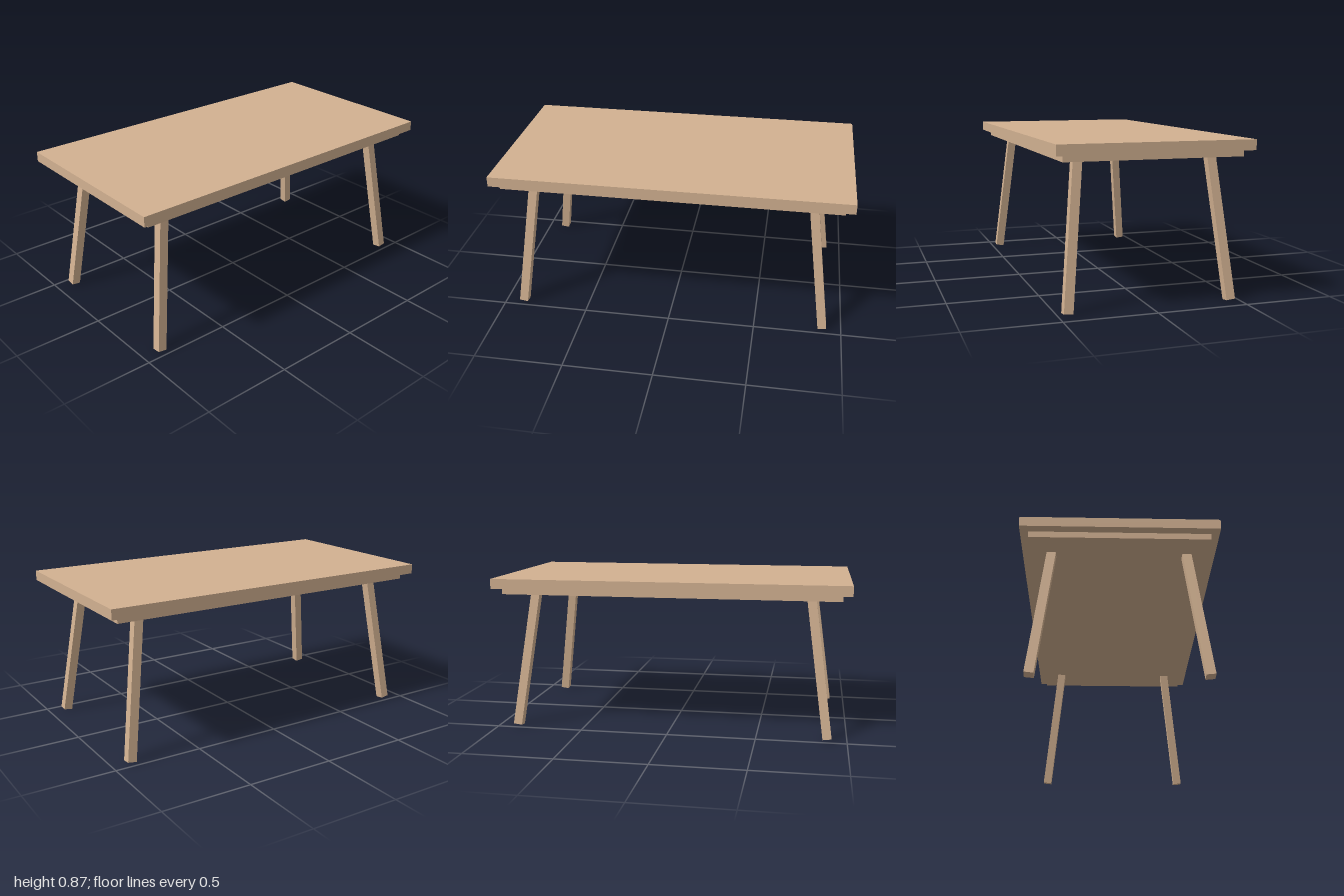
import * as THREE from 'three';

export function createModel() {
  const table = new THREE.Group();
  table.name = 'table';

  const wood = new THREE.MeshStandardMaterial({ color: 0xd2b191 });
  wood.name = 'light wood';

  // Horizontal slab centred on the table, resting at the given height
  function slab(name, width, height, depth, bottom) {
    const mesh = new THREE.Mesh(new THREE.BoxGeometry(width, height, depth), wood);
    mesh.name = name;
    mesh.position.y = bottom + height / 2;
    table.add(mesh);
  }
  slab('tableTop', 2, 0.056, 1.056, 0.81);
  slab('underframe', 1.9, 0.035, 0.966, 0.775);

  // Square legs, splayed outwards from the underframe
  const legLength = 0.8;
  const legGeometry = new THREE.BoxGeometry(0.05, legLength, 0.05);
  legGeometry.translate(0, legLength / 2, 0);
  for (const sx of [-1, 1]) {
    for (const sz of [-1, 1]) {
      const leg = new THREE.Mesh(legGeometry, wood);
      leg.name = (sz > 0 ? 'front' : 'back') + (sx > 0 ? 'Left' : 'Right') + 'Leg';
      leg.position.set(sx * 0.892, 0.006, sz * 0.448);
      leg.rotation.set(-sz * 0.105, 0, sx * 0.137);
      table.add(leg);
    }
  }

  return table;
}
